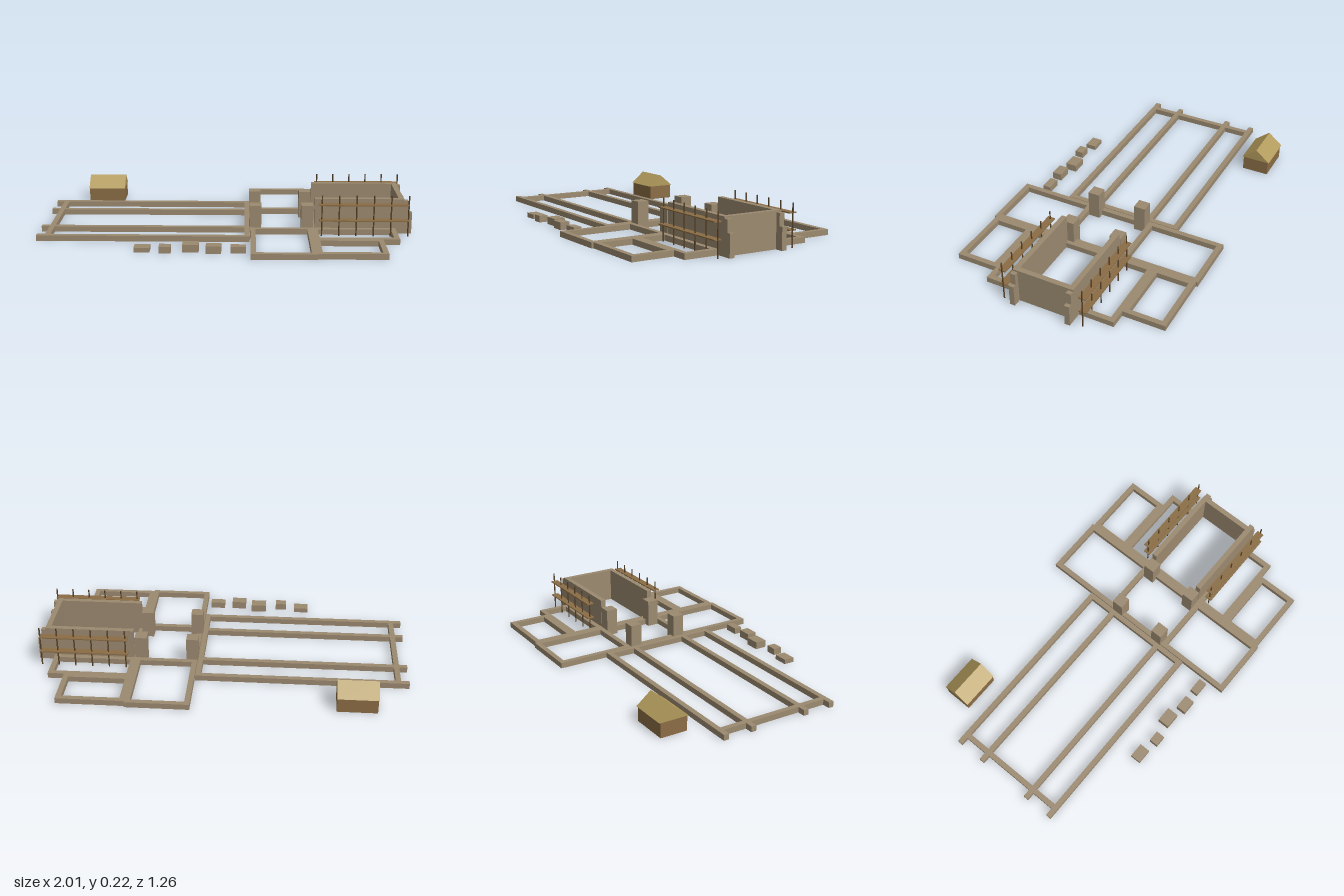
import * as THREE from 'three';

const mat = (name, color) => {
  const m = new THREE.MeshStandardMaterial({ color });
  m.name = name;
  return m;
};

export function createModel() {
  const stone = mat('stone', 0x9c8a70);
  const timber = mat('timber', 0x8b6d45);
  const thatch = mat('thatch', 0xb39b5c);
  const poleWood = mat('dark pole wood', 0x5a4429);

  const model = new THREE.Group();
  model.name = 'buildingSite';
  const site = new THREE.Group();
  site.name = 'sitePlan';
  site.rotation.y = -0.065; // whole plan is slightly turned
  model.add(site);

  const C = -0.0135; // centre line of the plan
  const T = 0.028; // wall thickness
  const H = 0.03; // foundation height

  // Box from plan limits and heights
  const block = (name, material, x0, x1, z0, z1, y0, y1) => {
    const mesh = new THREE.Mesh(new THREE.BoxGeometry(x1 - x0, y1 - y0, z1 - z0), material);
    mesh.position.set((x0 + x1) / 2, (y0 + y1) / 2, (z0 + z1) / 2);
    mesh.name = name;
    site.add(mesh);
    return mesh;
  };
  // Wall along x at distance d from the centre line
  const along = (name, x0, x1, d, h = H) =>
    block(name, stone, x0, x1, C + d - T / 2, C + d + T / 2, 0, h);
  // Wall across the plan at x, between distances d0 and d1
  const across = (name, x, d0, d1, h = H) =>
    block(name, stone, x - T / 2, x + T / 2, C + Math.min(d0, d1), C + Math.max(d0, d1), 0, h);

  // Cross walls
  across('naveWestFoundation', -0.93, -0.327, 0.327);
  across('naveEastFoundation', 0.116, -0.327, 0.327);
  across('transeptWestFoundation', 0.147, -0.599, 0.599);
  across('transeptEastFoundation', 0.451, -0.599, 0.599);
  across('chapelWestFoundation', 0.478, -0.588, 0.588);
  across('choirEastWall', 0.935, -0.168, 0.168, 0.19);

  for (const s of [-1, 1]) {
    // Nave and transept foundations
    along('naveOuterFoundation', -0.987, 0.13, s * 0.313);
    along('naveInnerFoundation', -0.987, 0.13, s * 0.157);
    along('transeptEndFoundation', 0.133, 0.465, s * 0.585);
    along('crossingFoundation', 0.133, 0.907, s * 0.184);

    // Chapel and choir aisle foundations
    along('chapelEndFoundation', 0.465, 0.82, s * 0.575);
    across('chapelEastFoundation', 0.806, s * 0.36, s * 0.588);
    along('chapelInnerFoundation', 0.465, 0.82, s * 0.372);
    along('aisleFoundation', 0.465, 0.907, s * 0.345);
    across('aisleEastFoundation', 0.893, s * 0.17, s * 0.357);

    // Raised choir wall with a stepped unfinished end
    along('choirWall', 0.475, 0.949, s * 0.154, 0.19);
    along('choirWallUpperStep', 0.94, 0.972, s * 0.154, 0.18);
    along('choirWallLowerStep', 0.96, 0.993, s * 0.154, 0.117);

    // Crossing piers
    for (const x of [0.16, 0.437]) {
      const z = C + s * 0.137;
      block('crossingPier', stone, x - 0.032, x + 0.032, z - 0.032, z + 0.032, 0, 0.15);
    }

    // Scaffold: two plank walks and a row of poles
    const zs = C - 0.004 + s * 0.221;
    for (const y of [0.088, 0.173]) {
      block('scaffoldPlank', timber, 0.497, 0.968, zs - 0.02, zs + 0.02, y - 0.003, y + 0.003);
    }
    for (let i = 0; i < 6; i++) {
      const x = 0.511 + i * 0.0912;
      const pole = new THREE.Mesh(new THREE.CylinderGeometry(0.004, 0.004, 0.222, 6), poleWood);
      pole.name = 'scaffoldPole';
      pole.position.set(x, 0.111, zs);
      site.add(pole);
    }
  }

  // Loose cut stones: x, z, width, depth, height
  for (const [x, z, w, d, h] of [
    [-0.418, 0.458, 0.08, 0.058, 0.025],
    [-0.3, 0.478, 0.06, 0.048, 0.036],
    [-0.171, 0.452, 0.083, 0.063, 0.04],
    [-0.054, 0.478, 0.078, 0.054, 0.041],
    [0.071, 0.471, 0.08, 0.044, 0.034],
  ]) block('cutStone', stone, x - w / 2, x + w / 2, z - d / 2, z + d / 2, 0, h);

  // Workers' hut with a gabled roof
  const hx = -0.709, hz = -0.501;
  block('hutWalls', timber, hx - 0.103, hx + 0.103, hz - 0.073, hz + 0.073, 0, 0.08);
  const gable = new THREE.Shape();
  gable.moveTo(-0.08, 0);
  gable.lineTo(0.08, 0);
  gable.lineTo(0, 0.065);
  gable.closePath();
  const roofGeo = new THREE.ExtrudeGeometry(gable, { depth: 0.21, bevelEnabled: false });
  roofGeo.translate(0, 0, -0.105);
  roofGeo.rotateY(Math.PI / 2);
  const roof = new THREE.Mesh(roofGeo, thatch);
  roof.name = 'hutRoof';
  roof.position.set(hx, 0.079, hz);
  site.add(roof);

  return model;
}
